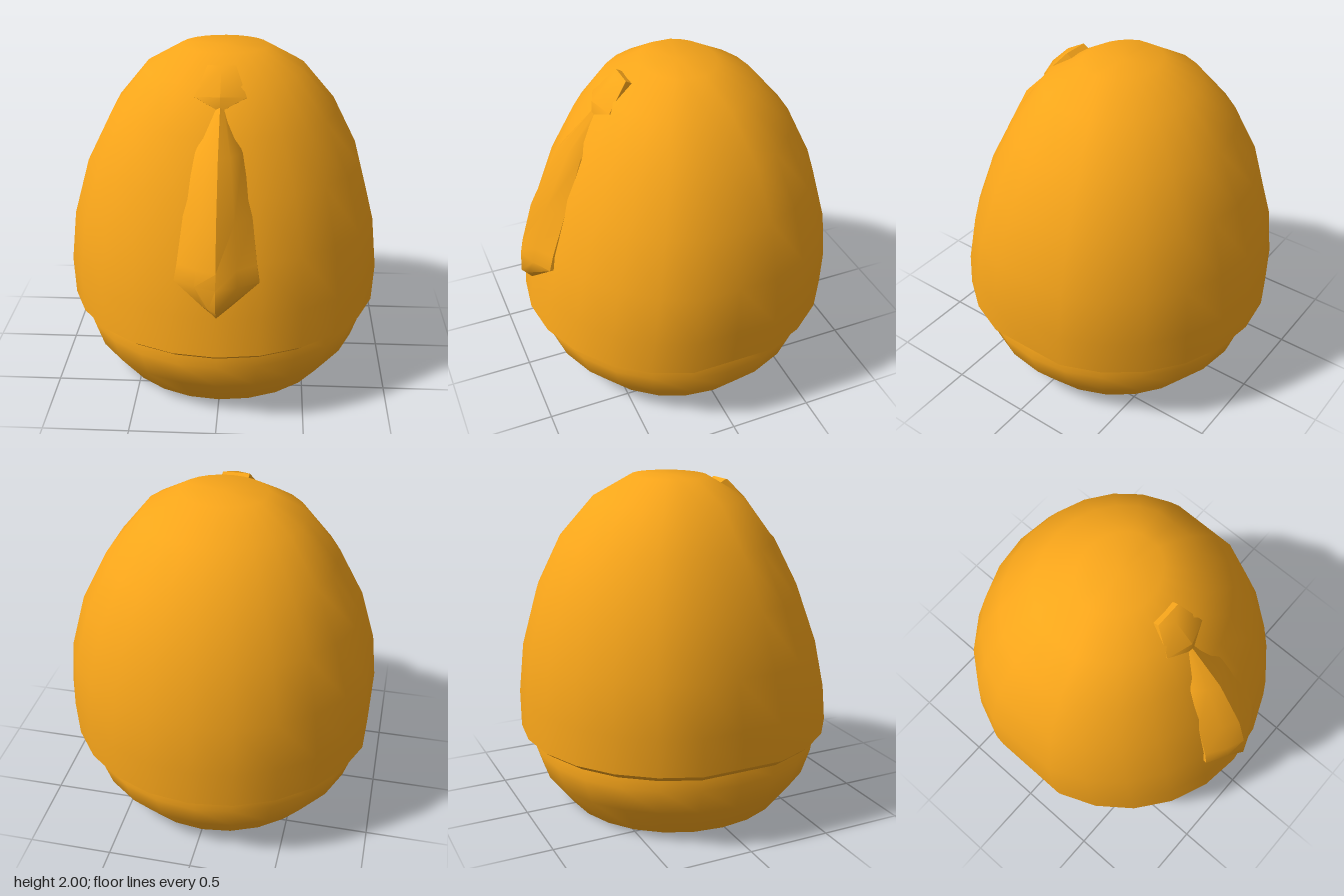
import * as THREE from 'three';
import { toCreasedNormals } from 'three/addons/utils/BufferGeometryUtils.js';
import { ConvexGeometry } from 'three/addons/geometries/ConvexGeometry.js';

const CREASE = 0.75;
const SIDES = 24;

// Lathe with oval rings that may lean: rows are [y, half width x, half depth z, centre z].
// flat limits the sine of the ring angle, leaving a flat facet on each side.
function ovalLathe(rows, flat) {
  const geo = new THREE.LatheGeometry(rows.map(([y, x]) => new THREE.Vector2(x, y)), SIDES);
  const pos = geo.attributes.position;
  for (let i = 0; i < pos.count; i++) {
    const [, hx, hz, cz] = rows[i % rows.length];
    const phi = Math.floor(i / rows.length) / SIDES * Math.PI * 2;
    const s = THREE.MathUtils.clamp(Math.sin(phi), -flat, flat) / flat;
    pos.setX(i, hx * s);
    pos.setZ(i, cz + hz * Math.cos(phi));
  }
  geo.deleteAttribute('uv');
  return toCreasedNormals(geo, CREASE);
}

// Tie blade lofted from ridged cross-sections
function tieBlade() {
  // y, half width, z of the edge, z of the ridge
  const rows = [
    [1.79, 0.03, 0.43, 0.47],
    [1.56, 0.13, 0.6, 0.7],
    [1.24, 0.19, 0.735, 0.88],
    [1.0, 0.22, 0.83, 0.95],
    [0.91, 0.235, 0.86, 0.97],
    [0.78, 0.083, 0.9, 0.978],
    [0.71, 0, 0.91, 0.92]
  ];
  // width fraction, rise fraction, setback into the body
  const section = [[-1, 0, 0.07], [-1, 0, 0], [-0.5, 0.62, 0], [0, 1, 0], [0.5, 0.62, 0], [1, 0, 0], [1, 0, 0.07]];
  const n = section.length;
  const verts = [], index = [];
  rows.forEach(([y, w, ze, zr], j) => {
    for (const [u, rise, back] of section) verts.push(u * w, y, ze + (zr - ze) * rise - back);
    if (j === 0) return;
    for (let i = 0; i < n - 1; i++) {
      const a = (j - 1) * n + i, c = j * n + i;
      index.push(a, c, a + 1, a + 1, c, c + 1);
    }
  });
  // close the top end
  for (let i = 1; i < n - 1; i++) index.push(0, i, i + 1);
  const geo = new THREE.BufferGeometry();
  geo.setAttribute('position', new THREE.Float32BufferAttribute(verts, 3));
  geo.setIndex(index);
  return toCreasedNormals(geo, CREASE);
}

// Five-sided knot with a raised face
function tieKnot() {
  const outline = [[-0.08, 1.965, 0.3], [0.08, 1.965, 0.3], [0.145, 1.82, 0.425], [0, 1.755, 0.485], [-0.145, 1.82, 0.425]];
  const points = [];
  for (const [x, y, z] of outline) {
    points.push(new THREE.Vector3(x, y, z));
    points.push(new THREE.Vector3(x * 0.97, y - 0.03, z - 0.05));
  }
  points.push(new THREE.Vector3(0, 1.95, 0.355), new THREE.Vector3(0, 1.835, 0.475));
  return toCreasedNormals(new ConvexGeometry(points), CREASE);
}

export function createModel() {
  const group = new THREE.Group();
  const material = new THREE.MeshStandardMaterial({ color: 0xf9a61a });
  const thin = material.clone();
  thin.side = THREE.DoubleSide;
  const add = (name, geo, mat = material) => {
    const mesh = new THREE.Mesh(geo, mat);
    mesh.name = name;
    group.add(mesh);
  };

  // Rounded base tucked under the shell
  add('base', ovalLathe([
    [0, 0, 0, -0.01],
    [0, 0.68, 0.68, -0.01],
    [0.2, 0.835, 0.835, -0.01],
    [0.36, 0.887, 0.887, -0.01],
    [0.46, 0.86, 0.86, -0.01]
  ], 1));

  // Egg-shaped shell with a bevelled lip and flat crown
  add('shell', ovalLathe([
    [0.435, 0.8, 0.82, -0.012],
    [0.435, 0.872, 0.905, -0.012],
    [0.475, 0.917, 0.957, -0.013],
    [0.7, 0.93, 0.943, -0.027],
    [1.0, 0.9, 0.892, -0.045],
    [1.33, 0.81, 0.785, -0.06],
    [1.63, 0.66, 0.637, -0.063],
    [1.87, 0.467, 0.447, -0.045],
    [2, 0.25, 0.22, -0.04],
    [2, 0, 0, -0.04]
  ], Math.cos(Math.PI / 12)));

  add('tieBlade', tieBlade(), thin);
  add('tieKnot', tieKnot());
  return group;
}
